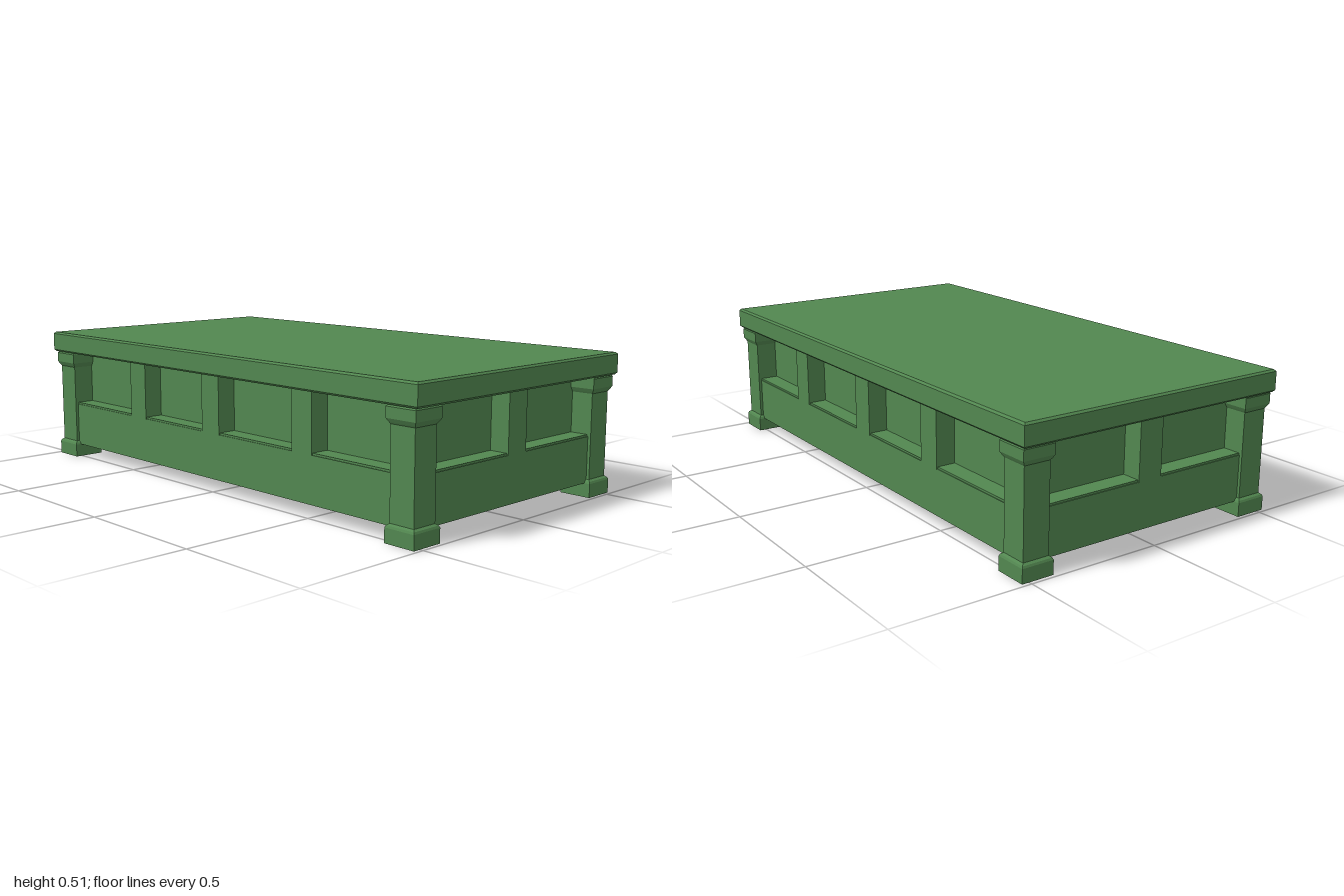
import * as THREE from 'three';

const material = new THREE.MeshStandardMaterial({ color: 0x528750, flatShading: true });

export function createModel() {
  const table = new THREE.Group();
  table.name = 'lowTable';

  const add = (name, geometry, x = 0, y = 0, z = 0, parent = table) => {
    const mesh = new THREE.Mesh(geometry, material);
    mesh.name = name;
    mesh.position.set(x, y, z);
    parent.add(mesh);
    return mesh;
  };

  // Box given by its limits on each axis
  const block = (name, [x0, x1], [y0, y1], [z0, z1], parent) =>
    add(name, new THREE.BoxGeometry(x1 - x0, y1 - y0, z1 - z0),
      (x0 + x1) / 2, (y0 + y1) / 2, (z0 + z1) / 2, parent);

  // Table top with a small chamfer all round
  const X = 1, Z = 0.535, c = 0.007;
  const outline = new THREE.Shape();
  outline.moveTo(-X + c, -Z + c);
  outline.lineTo(X - c, -Z + c);
  outline.lineTo(X - c, Z - c);
  outline.lineTo(-X + c, Z - c);
  outline.closePath();
  const slab = new THREE.ExtrudeGeometry(outline, {
    depth: 0.08 - 2 * c, bevelEnabled: true, bevelThickness: c, bevelSize: c, bevelSegments: 1,
  });
  slab.rotateX(-Math.PI / 2);
  add('tableTop', slab, 0, 0.43 + c, 0);

  // Square legs: recessed sole, foot block, post and flared cap
  const profile = [
    [0, 0.02], [0.028, 0.02], [0.028, 0], [0.06, 0], [0.06, 0.05], [0.057, 0.057],
    [0.049, 0.063], [0.049, 0.37], [0.053, 0.376], [0.06, 0.388], [0.06, 0.424], [0.055, 0.431], [0, 0.431],
  ].map(([half, y]) => new THREE.Vector2(half * Math.SQRT2, y));
  const legGeometry = new THREE.LatheGeometry(profile, 4, Math.PI / 4).toNonIndexed();
  legGeometry.computeVertexNormals();
  for (const sx of [-1, 1]) {
    for (const sz of [-1, 1]) add('leg', legGeometry, sx * 0.927, 0, sz * 0.467);
  }

  // One side of the hollow frame, facing +z; d is the distance of its outer face
  const side = (name, halfLength, d, stiles, angle) => {
    const group = new THREE.Group();
    group.name = name;
    group.rotation.y = angle;
    const span = [-halfLength, halfLength];
    block('lowerRail', span, [0.05, 0.217], [d - 0.015, d], group);
    block('ledge', span, [0.215, 0.224], [d - 0.085, d - 0.003], group);
    block('upperPanel', span, [0.22, 0.432], [d - 0.085, d - 0.07], group);
    for (const s of stiles) {
      block('stile', [s - 0.048, s + 0.048], [0.216, 0.432], [d - 0.09, d + 0.002], group);
    }
    table.add(group);
  };

  side('frontSide', 0.89, 0.505, [-0.443, 0, 0.477], 0);
  side('backSide', 0.89, 0.505, [-0.477, 0, 0.443], Math.PI);
  side('leftSide', 0.43, 0.965, [0], Math.PI / 2);
  side('rightSide', 0.43, 0.965, [0], -Math.PI / 2);

  return table;
}
